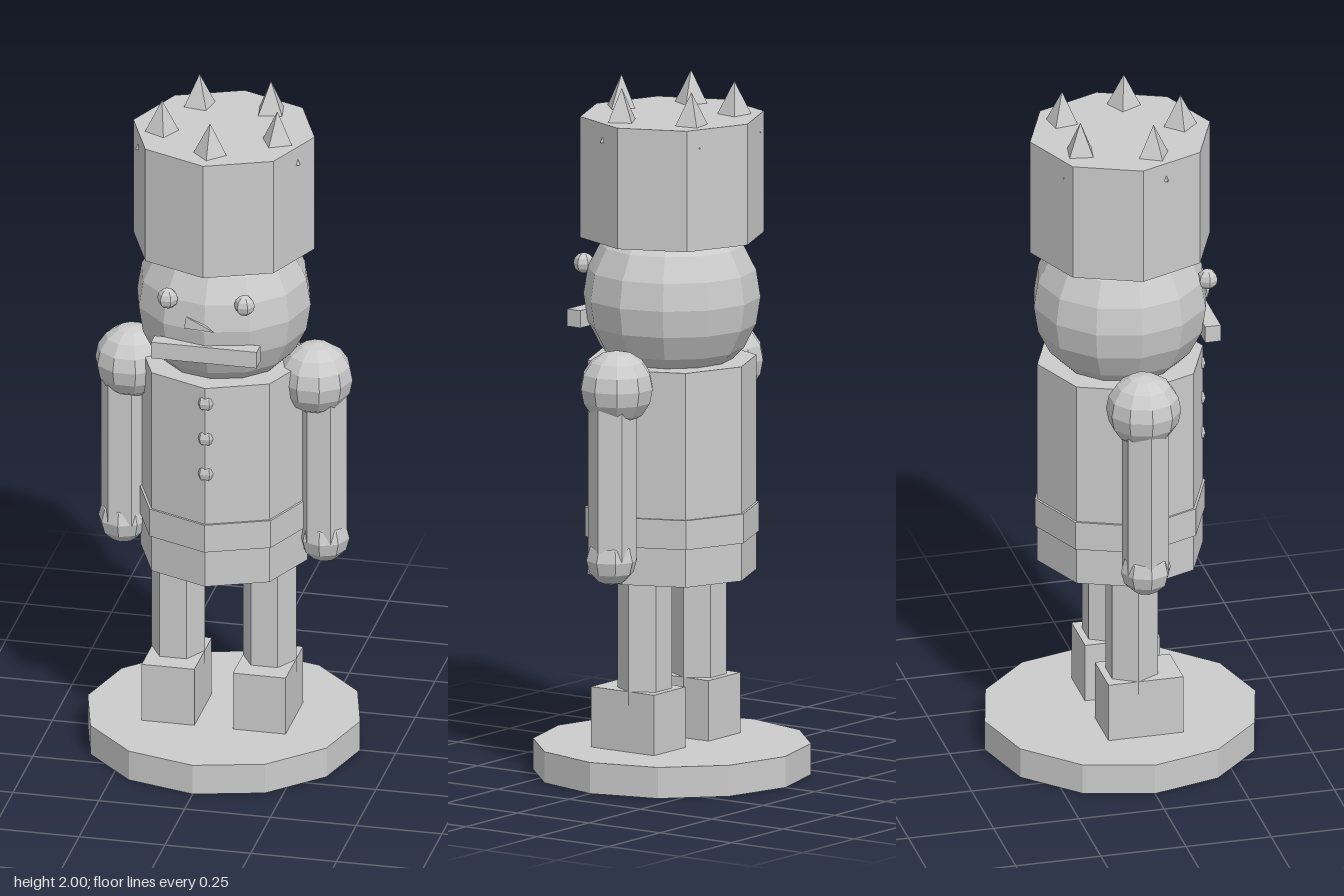
import * as THREE from 'three';

const material = new THREE.MeshStandardMaterial({ color: 0xcccccc, flatShading: true });

export function createModel() {
  const model = new THREE.Group();
  model.name = 'toySoldier';

  const add = (name, geometry, x, y, z) => {
    const mesh = new THREE.Mesh(geometry, material);
    mesh.name = name;
    mesh.position.set(x, y, z);
    model.add(mesh);
    return mesh;
  };
  // Upright prism between two heights
  const prism = (name, r, sides, y0, y1, x = 0) =>
    add(name, new THREE.CylinderGeometry(r, r, y1 - y0, sides), x, (y0 + y1) / 2, 0);
  const ball = (name, r, w, h, x, y, z) => add(name, new THREE.SphereGeometry(r, w, h), x, y, z);
  const box = (name, w, h, d, x, y, z) => add(name, new THREE.BoxGeometry(w, h, d), x, y, z);

  // Stand, coat, belt, head and hat
  prism('base', 0.397, 12, 0, 0.09);
  prism('coat', 0.243, 8, 0.58, 1.2);
  prism('belt', 0.25, 8, 0.69, 0.775);
  ball('head', 0.253, 12, 10, 0, 1.38, 0);
  prism('hat', 0.264, 8, 1.555, 1.905);

  // Five crown spikes, partly sunk into the hat
  for (let i = 0; i < 5; i++) {
    const a = (i * Math.PI * 2) / 5;
    const spike = add('crownSpike', new THREE.ConeGeometry(0.076, 0.15, 4),
      Math.sin(a) * 0.177, 1.925, Math.cos(a) * 0.177);
    spike.rotation.y = a;
  }

  // Limbs and eyes, mirrored
  for (const [side, s] of [['left', 1], ['right', -1]]) {
    box(side + 'Boot', 0.154, 0.18, 0.22, s * 0.133, 0.175, 0.022);
    prism(side + 'Leg', 0.078, 6, 0.225, 0.6, s * 0.133).rotation.y = Math.PI / 2;
    prism(side + 'Arm', 0.069, 6, 0.66, 1.15, s * 0.29).rotation.y = Math.PI / 2;
    ball(side + 'Shoulder', 0.107, 10, 8, s * 0.268, 1.155, 0);
    ball(side + 'Hand', 0.073, 8, 6, s * 0.293, 0.66, 0);
    ball(side + 'Eye', 0.03, 6, 6, s * 0.112, 1.465, 0.228);
  }

  // Mouth
  box('mouth', 0.308, 0.05, 0.046, 0, 1.31, 0.233);

  // Nose, a slanted pointed cone
  const from = new THREE.Vector3(-0.05, 1.395, 0.225);
  const tip = new THREE.Vector3(0.037, 1.395, 0.28);
  const dir = tip.clone().sub(from);
  const mid = from.clone().add(tip).multiplyScalar(0.5);
  const nose = add('nose', new THREE.ConeGeometry(0.024, dir.length(), 4), mid.x, mid.y, mid.z);
  nose.quaternion.setFromUnitVectors(new THREE.Vector3(0, 1, 0), dir.normalize());

  // Coat buttons
  for (const y of [1.15, 1.04, 0.93]) ball('button', 0.029, 6, 6, 0, y, 0.222);

  return model;
}
